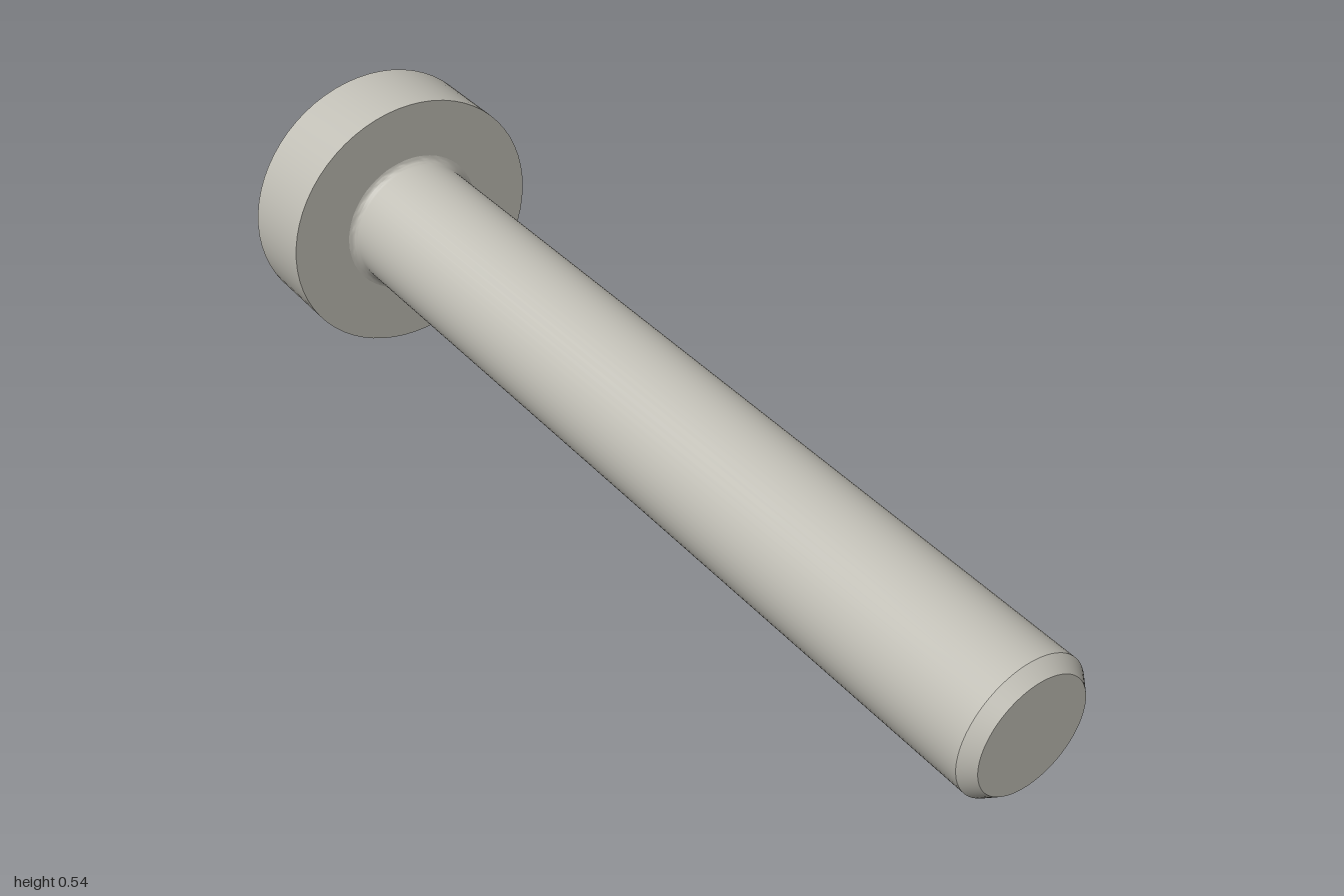
import * as THREE from 'three';
import { toCreasedNormals } from 'three/addons/utils/BufferGeometryUtils.js';

const SHANK_R = 0.133, HEAD_R = 0.267, HEAD_H = 0.156, DOME_H = 0.07, LENGTH = 1.776;
const DOME_R = (HEAD_R ** 2 + DOME_H ** 2) / (2 * DOME_H);
const STEPS = 6; // samples per edge of the cross outline

const domeY = (r) => HEAD_H + DOME_H - DOME_R + Math.sqrt(DOME_R ** 2 - r ** 2);

// Outline of a cross with arm length l and half width w, as [x, z] points
function crossOutline(l, w) {
  const corners = [];
  for (let q = 0; q < 4; q++) {
    const c = [1, 0, -1, 0][q], s = [0, 1, 0, -1][q];
    for (const [x, z] of [[l, -w], [l, w], [w, w]]) corners.push([x * c - z * s, x * s + z * c]);
  }
  return corners.flatMap(([x, z], i) => {
    const [nx, nz] = corners[(i + 1) % corners.length];
    return Array.from({ length: STEPS }, (_, k) => [x + (nx - x) * k / STEPS, z + (nz - z) * k / STEPS]);
  });
}

// Surface facing +y through closed rings of [x, y, z], listed from inside to outside
function loft(rings, crease) {
  const n = rings[0].length, index = [];
  for (let i = 0; i < rings.length - 1; i++) {
    for (let j = 0; j < n; j++) {
      const k = (j + 1) % n;
      const a = i * n + j, b = a + n, c = (i + 1) * n + k, d = i * n + k;
      index.push(a, d, c, a, c, b);
    }
  }
  const geo = new THREE.BufferGeometry();
  geo.setAttribute('position', new THREE.Float32BufferAttribute(rings.flat(2), 3));
  geo.setIndex(index);
  return toCreasedNormals(geo, crease);
}

function lathe(points) {
  const geo = new THREE.LatheGeometry(points.map(([r, y]) => new THREE.Vector2(r, y)), 64);
  return toCreasedNormals(geo, 0.5);
}

export function createModel() {
  const steel = new THREE.MeshStandardMaterial({ color: 0xc0beb5 });
  steel.name = 'steel grey';
  const screw = new THREE.Group();
  screw.name = 'screw';
  const add = (name, geo) => {
    const mesh = new THREE.Mesh(geo, steel);
    mesh.name = name;
    screw.add(mesh);
  };

  // Shank with chamfered tip and a small fillet under the head
  const fillet = 0.015;
  const profile = [[0, -LENGTH], [0.112, -LENGTH], [SHANK_R, -LENGTH + 0.025]];
  for (let i = 0; i <= 4; i++) {
    const a = i * Math.PI / 8;
    profile.push([SHANK_R + fillet * (1 - Math.cos(a)), fillet * (Math.sin(a) - 1)]);
  }
  add('shank', lathe(profile));

  // Underside and side wall of the head
  add('headRim', lathe([[SHANK_R + fillet, 0], [HEAD_R, 0], [HEAD_R, HEAD_H]]));

  // Domed top with a cross-shaped opening
  const mouth = crossOutline(0.125, 0.042);
  const domeRings = [];
  for (let i = 0; i <= 8; i++) {
    domeRings.push(mouth.map(([x, z]) => {
      const s = 1 + (HEAD_R / Math.hypot(x, z) - 1) * i / 8;
      return [x * s, domeY(Math.hypot(x, z) * s), z * s];
    }));
  }
  add('headDome', loft(domeRings, 0.5));

  // Tapered cross recess
  const floorY = 0.11;
  const floor = crossOutline(0.07, 0.028);
  add('driveRecess', loft([
    floor.map(() => [0, floorY, 0]),
    floor.map(([x, z]) => [x, floorY, z]),
    mouth.map(([x, z]) => [x, domeY(Math.hypot(x, z)), z]),
  ], 0.3));

  // Lay the screw down: local +y points out of the head, local +z roughly up
  const axis = new THREE.Vector3(-1, 0.076, -0.216).normalize();
  const side = new THREE.Vector3().crossVectors(axis, new THREE.Vector3(0, 1, 0)).normalize();
  const up = new THREE.Vector3().crossVectors(side, axis);
  screw.quaternion.setFromRotationMatrix(new THREE.Matrix4().makeBasis(side, axis, up));
  screw.position.set(-0.761, 0.268, -0.104);

  const model = new THREE.Group();
  model.name = 'machineScrew';
  model.add(screw);
  return model;
}
